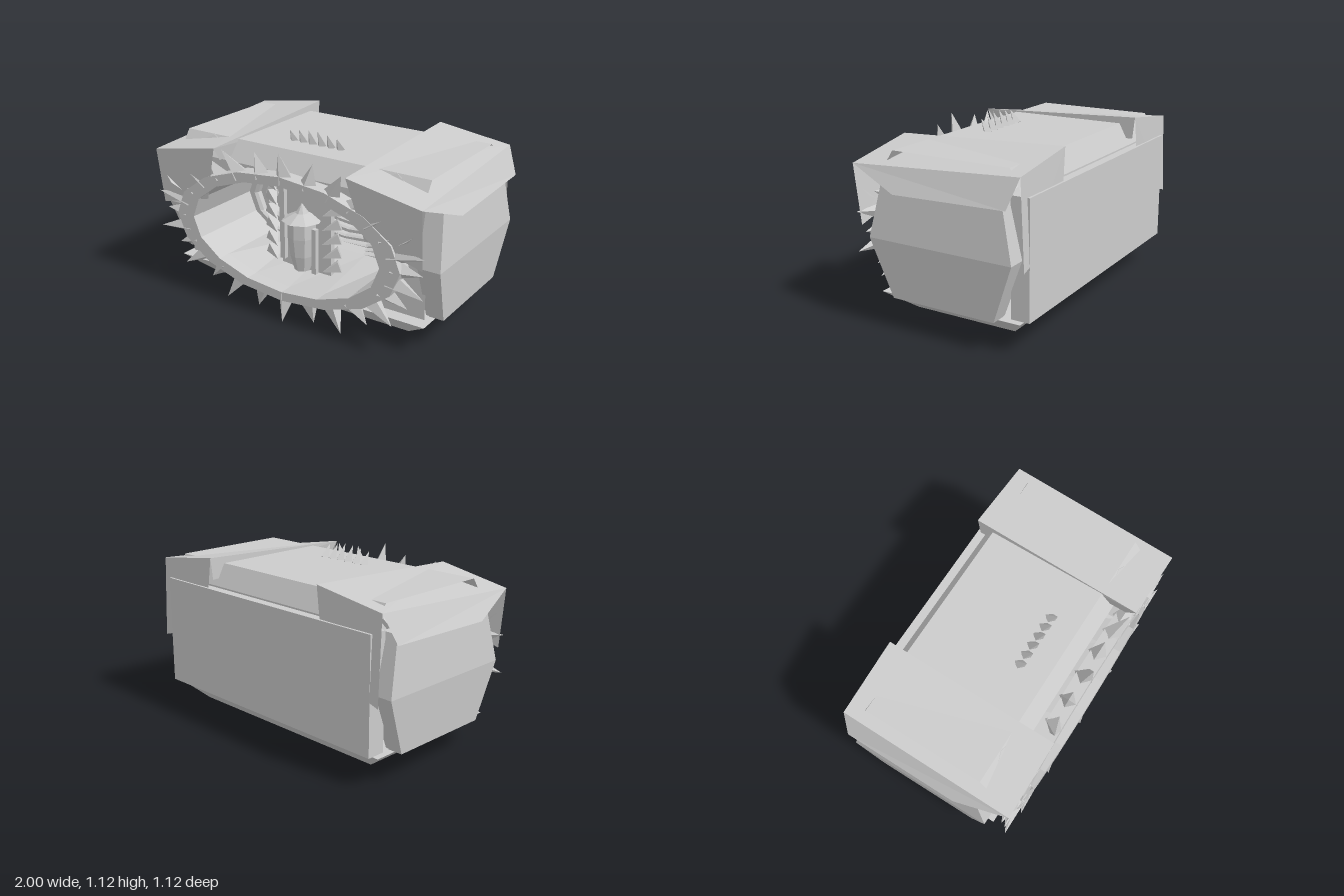
import * as THREE from 'three';
import { ConvexGeometry } from 'three/addons/geometries/ConvexGeometry.js';

const V = (x, y, z) => new THREE.Vector3(x, y, z);
const SIDES = 16, MID = 0.545;

export function createModel() {
  const group = new THREE.Group();
  const mat = new THREE.MeshStandardMaterial({ color: 0xcccccc, flatShading: true });
  const thin = new THREE.MeshStandardMaterial({ color: 0xcccccc, flatShading: true, side: THREE.DoubleSide });

  function add(name, geometry, material = mat, parent = group) {
    const mesh = new THREE.Mesh(geometry, material);
    mesh.name = name;
    parent.add(mesh);
    return mesh;
  }
  function box(name, x0, x1, y0, y1, z0, z1, parent) {
    const m = add(name, new THREE.BoxGeometry(x1 - x0, y1 - y0, z1 - z0), mat, parent);
    m.position.set((x0 + x1) / 2, (y0 + y1) / 2, (z0 + z1) / 2);
    return m;
  }
  // Surface through a list of equally long rows of points
  function loft(rows, closed) {
    const pos = [], idx = [], n = rows[0].length;
    rows.forEach((row) => row.forEach((p) => pos.push(p.x, p.y, p.z)));
    for (let r = 0; r < rows.length - 1; r++) {
      for (let i = 0; i < (closed ? n : n - 1); i++) {
        const j = (i + 1) % n, a = r * n, b = a + n;
        idx.push(a + i, a + j, b + j, a + i, b + j, b + i);
      }
    }
    const g = new THREE.BufferGeometry();
    g.setAttribute('position', new THREE.Float32BufferAttribute(pos, 3));
    g.setIndex(idx);
    g.computeVertexNormals();
    return g;
  }
  const quad = (a, b, c, d) => loft([[a, b], [d, c]], false);
  // Pyramid spike from a base point to a tip
  function spike(name, base, tip, radius, parent, sides = 4) {
    const dir = tip.clone().sub(base), h = dir.length();
    const g = new THREE.ConeGeometry(radius, h, sides);
    g.translate(0, h / 2, 0);
    const m = add(name, g, mat, parent);
    m.position.copy(base);
    m.quaternion.setFromUnitVectors(V(0, 1, 0), dir.normalize());
    return m;
  }
  const oval = (rx, ry, n = SIDES) => Array.from({ length: n }, (_, i) => {
    const a = (i / n) * Math.PI * 2;
    return new THREE.Vector2(Math.cos(a) * rx, MID + Math.sin(a) * ry);
  });

  // Tapered base
  add('base', new ConvexGeometry([-1, 1].flatMap((s) => [
    V(s * 0.73, 0.06, 0.29), V(s * 0.73, 0.06, -0.38),
    V(s * 0.895, 0.19, 0.42), V(s * 0.895, 0.19, -0.51)])));

  // Folded shell: back, roof and upper front strip
  const profile = [[0.4, 0.2], [-0.5, 0.2], [-0.5, 0.9], [-0.43, 1.03], [0.33, 1.03], [0.41, 0.91]];
  add('bodyShell', loft([-0.86, 0.86].map((x) => profile.map(([z, y]) => V(x, y, z))), false), thin);
  box('backPanel', -0.87, 0.87, 0.2, 0.89, -0.555, -0.44);

  // Front wall with the mouth opening
  const wall = new THREE.Shape([[-0.86, 0.2], [0.86, 0.2], [0.86, 0.9], [-0.86, 0.9]]
    .map(([x, y]) => new THREE.Vector2(x, y)));
  wall.holes.push(new THREE.Path(oval(0.67, 0.335).reverse()));
  add('frontWall', new THREE.ShapeGeometry(wall), thin).position.z = 0.35;

  // Mouth rim
  const rim = new THREE.Shape(oval(0.8, 0.392));
  rim.holes.push(new THREE.Path(oval(0.67, 0.335).reverse()));
  add('mouthRim', new THREE.ExtrudeGeometry(rim, { depth: 0.1, bevelEnabled: false })).position.z = 0.44;

  // Throat narrowing in steps, with a flat floor and ceiling
  const section = (s, z) => oval(0.66 * s, 0.33 * s).map((p) =>
    V(p.x, z > 0.1 ? p.y : THREE.MathUtils.clamp(p.y, 0.31, 0.78), z));
  const rows = [section(1.01, 0.46), section(1, 0)];
  for (let i = 1; i <= 6; i++) {
    const s = 1 - i * 0.09;
    rows.push(section(s + 0.03, -0.05 * (i - 1)), section(s, -0.05 * (i - 1) - 0.015), section(s, -0.05 * i));
  }
  rows.push(section(0.001, -0.3));
  add('throat', loft(rows, true), thin);

  // Spikes around the rim
  const spikes = new THREE.Group();
  spikes.name = 'rimSpikes';
  group.add(spikes);
  const count = 28;
  for (let i = 0; i < count; i++) {
    const a = (i / count) * Math.PI * 2 + Math.PI / 2, c = Math.cos(a), s = Math.sin(a);
    const odd = i % 2, k = odd ? 0.95 : 1;
    spike('rimSpike', V(c * 0.74, MID + s * 0.36, 0.485),
      V(c * 0.97 * k, MID + s * 0.535 * k, odd ? 0.5 : 0.54), 0.062, spikes);
  }

  // Row of small roof spikes leaning forward
  for (let i = 0; i < 6; i++) {
    const x = -0.167 + i * 0.067;
    spike('roofSpike', V(x, 1.02, 0.15), V(x, 1.13 - Math.abs(x) * 0.15, 0.2), 0.034);
  }

  // Inner post with teeth down both edges
  const post = new THREE.Group();
  post.name = 'innerPost';
  group.add(post);
  box('postPanel', -0.18, 0.18, 0.26, 0.83, 0.24, 0.28, post);
  for (const s of [-1, 1]) {
    for (let i = 0; i < 6; i++) {
      const y = 0.33 + i * 0.09;
      spike('postTooth', V(s * 0.25, y + 0.02, 0.29), V(s * 0.165, y - 0.02, 0.35), 0.045, post);
    }
  }
  box('tallBar', -0.13, -0.095, 0.34, 0.84, 0.34, 0.37, post);
  box('shortBar', 0.088, 0.118, 0.28, 0.57, 0.32, 0.35, post);

  // Pendant vessel with a pointed cap
  const vessel = [[0, 0.28], [0.05, 0.28], [0.075, 0.38], [0.09, 0.5], [0.09, 0.6], [0.125, 0.605], [0.04, 0.65], [0, 0.71]]
    .map(([r, y]) => new THREE.Vector2(r, y));
  add('vessel', new THREE.LatheGeometry(vessel, 8), thin, post).position.z = 0.32;

  // Side slabs and shoulder covers, mirrored
  for (const s of [-1, 1]) {
    const P = (x, y, z) => V(s * x, y, z);
    const side = new THREE.Group();
    side.name = s > 0 ? 'leftSide' : 'rightSide';
    group.add(side);

    const hexagon = [[0.29, 0.195, 0.95], [-0.38, 0.195, 0.95], [-0.51, MID, 0.98],
      [-0.43, 0.88, 0.945], [0.345, 0.88, 0.945], [0.42, MID, 0.98]];
    add('sideSlab', new ConvexGeometry(hexagon.flatMap(([z, y, x]) => [P(x, y, z), P(0.84, y, z)])), mat, side);

    // Shoulder corners
    const fi = P(0.46, 1.03, 0.56), fo = P(0.93, 0.945, 0.56);
    const bi = P(0.46, 1.077, -0.535), bo = P(0.93, 1.01, -0.535);
    add('shoulderTop', quad(fi, fo, bo, bi), thin, side);
    add('shoulderOuterFlap', quad(fo, bo, P(1, 0.845, -0.49), P(1, 0.825, 0.23)), thin, side);
    add('shoulderInnerEdge', quad(fi, bi, P(0.46, 0.94, -0.52), P(0.47, 0.94, 0.5)), thin, side);
    add('shoulderFrontFlap', quad(fi, fo, P(0.925, 0.585, 0.52), P(0.56, 0.68, 0.52)), thin, side);
    add('shoulderBackFlap', quad(bi, bo, P(0.93, 0.5, -0.557), P(0.52, 0.62, -0.545)), thin, side);

    // Low ridge on the shoulder and a sliver on its front
    add('shoulderRidge', new ConvexGeometry([
      P(0.53, 0.985, 0.36), P(0.73, 0.985, 0.36), P(0.65, 1.028, 0.335), P(0.66, 1.022, -0.14)]), mat, side);
    add('frontSliver', new ConvexGeometry([
      P(0.89, 0.79, 0.535), P(0.77, 0.7, 0.53), P(0.83, 0.74, 0.552), P(0.84, 0.735, 0.53)]), mat, side);
  }
  return group;
}
